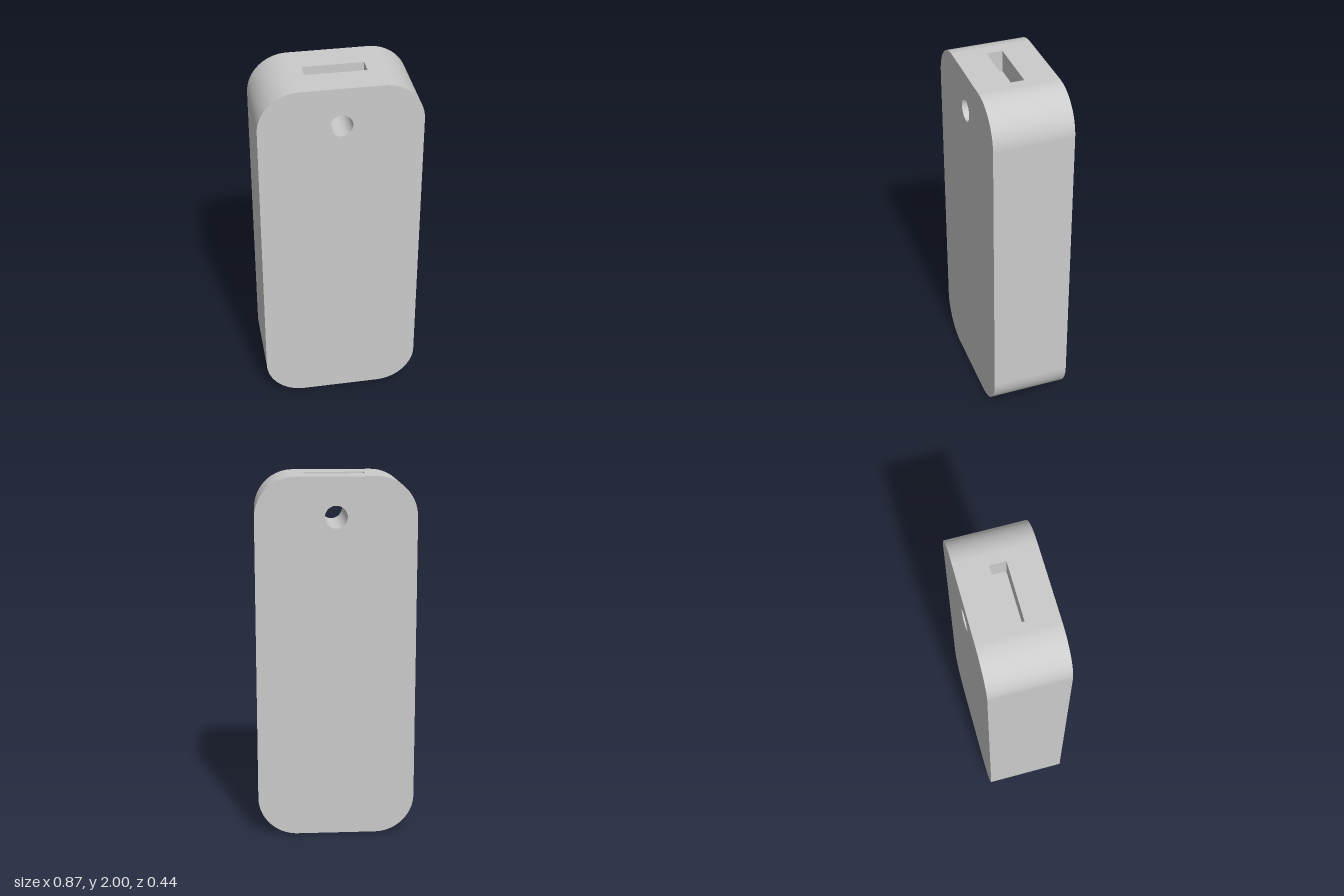
import * as THREE from 'three';

const W = 0.436, H = 2, D = 0.218, R = 0.218;            // half width, height, half depth, corner radius
const HOLE = { y: 1.785, r: 0.061 };                      // keyring hole
const SLOT = { w: 0.33, d: 0.088, depth: 0.12 };          // socket in the top end
const STEPS = 24;

// Points on an arc, each with its outward direction
function arc(cx, cy, r, a0, a1, steps) {
  return Array.from({ length: steps + 1 }, (_, i) => {
    const a = a0 + (a1 - a0) * i / steps;
    const n = new THREE.Vector2(Math.cos(a), Math.sin(a));
    return { p: new THREE.Vector2(cx + r * n.x, cy + r * n.y), n };
  });
}

// Smooth wall that carries a path through the depth; inward = faces the path's inside
function wall(path, inward = false) {
  const pos = [], nor = [], idx = [], s = inward ? -1 : 1;
  path.forEach(({ p, n }, i) => {
    pos.push(p.x, p.y, D, p.x, p.y, -D);
    nor.push(s * n.x, s * n.y, 0, s * n.x, s * n.y, 0);
    if (i === path.length - 1) return;
    const a = 2 * i, b = a + 1, c = a + 2, d = a + 3;
    idx.push(...(inward ? [a, c, b, c, d, b] : [a, b, c, c, b, d]));
  });
  const g = new THREE.BufferGeometry();
  g.setAttribute('position', new THREE.Float32BufferAttribute(pos, 3));
  g.setAttribute('normal', new THREE.Float32BufferAttribute(nor, 3));
  g.setIndex(idx);
  return g;
}

function rectPoints(w, h) {
  return [[-w, -h], [w, -h], [w, h], [-w, h]].map(([x, y]) => new THREE.Vector2(x, y));
}

export function createModel() {
  const group = new THREE.Group();
  const material = new THREE.MeshStandardMaterial({ color: 0xcccccc });
  const add = (name, geometry) => {
    const mesh = new THREE.Mesh(geometry, material);
    mesh.name = name;
    group.add(mesh);
    return mesh;
  };

  // Outline, counter-clockwise from the top left corner round to the top right
  const q = Math.PI / 2, x = W - R;
  const outline = [
    ...arc(-x, H - R, R, q, 2 * q, STEPS),
    ...arc(-x, R, R, 2 * q, 3 * q, STEPS),
    ...arc(x, R, R, 3 * q, 4 * q, STEPS),
    ...arc(x, H - R, R, 0, q, STEPS),
  ];
  const ring = arc(0, HOLE.y, HOLE.r, 0, 4 * q, 48);

  // Front and back faces, pierced by the keyring hole
  const face = new THREE.Shape(outline.map(o => o.p));
  face.holes.push(new THREE.Path(ring.slice(0, -1).map(o => o.p)));
  const faceGeometry = new THREE.ShapeGeometry(face);
  add('frontFace', faceGeometry).position.z = D;
  const back = add('backFace', faceGeometry);
  back.position.z = -D;
  back.rotation.y = Math.PI;

  // Rounded sides and bottom, and the lining of the keyring hole
  add('sideWall', wall(outline));
  add('keyringHole', wall(ring, true));

  // Flat top end with the slot opening
  const top = new THREE.Shape(rectPoints(x, D));
  top.holes.push(new THREE.Path(rectPoints(SLOT.w / 2, SLOT.d / 2)));
  add('topFace', new THREE.ShapeGeometry(top).rotateX(-q).translate(0, H, 0));

  // Slot lining: a box without its lid, turned inside out
  const box = new THREE.BoxGeometry(SLOT.w, SLOT.depth, SLOT.d);
  const index = Array.from(box.index.array);
  index.splice(12, 6);
  box.setIndex(index.reverse());
  box.clearGroups();
  box.computeVertexNormals();
  add('topSlot', box.translate(0, H - SLOT.depth / 2, 0));

  return group;
}
